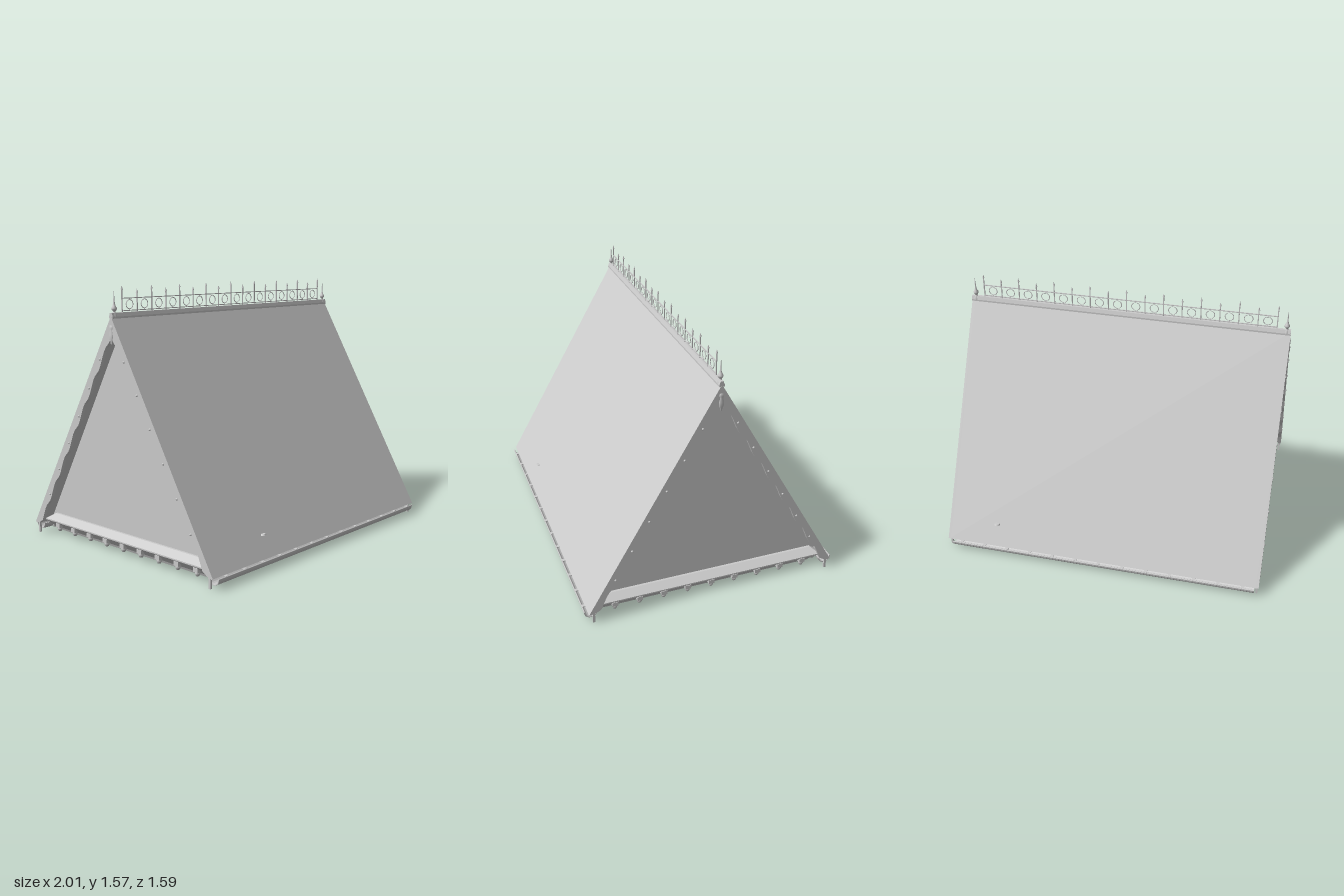
import * as THREE from 'three';

const APEX = 1.405, SLOPE = 1.732, EAVE = 0.775;
const roofY = (z) => APEX - SLOPE * Math.abs(z);

export function createModel() {
  const model = new THREE.Group();
  model.name = 'gableRoof';
  const grey = new THREE.MeshStandardMaterial({ color: 0xcccccc, side: THREE.DoubleSide });
  grey.name = 'light grey';

  const add = (name, geo, x = 0, y = 0, z = 0, parent = model) => {
    const m = new THREE.Mesh(geo, grey);
    m.name = name;
    m.position.set(x, y, z);
    parent.add(m);
    return m;
  };
  const box = (w, h, d) => new THREE.BoxGeometry(w, h, d);
  const lathe = (pts, n = 14) => new THREE.LatheGeometry(pts.map((p) => new THREE.Vector2(...p)), n);
  // Extrude a (z, y) outline along x, centred on x = 0
  const slab = (pts, width) => {
    const s = new THREE.Shape(pts.map((p) => new THREE.Vector2(...p)));
    const g = new THREE.ExtrudeGeometry(s, { depth: width, bevelEnabled: false });
    return g.translate(0, 0, -width / 2).rotateY(Math.PI / 2);
  };

  // Two roof slopes in one folded slab
  const t = 0.03;
  add('roofSlopes', slab([
    [-EAVE, roofY(EAVE)], [-EAVE + 0.017, roofY(EAVE) - 0.008], [0, APEX - t],
    [EAVE - 0.017, roofY(EAVE) - 0.008], [EAVE, roofY(EAVE)], [0, APEX],
  ], 1.98));

  // Ridge cap
  add('ridgeCap', slab([[-0.016, 1.392], [0.016, 1.392], [0.016, 1.402], [0.008, 1.424], [-0.008, 1.424], [-0.016, 1.402]], 1.99));

  // Scalloped barge board outline: straight outside, wavy inside
  const barge = [[-EAVE, roofY(EAVE)], [0, APEX], [EAVE, roofY(EAVE)], [EAVE - 0.04, roofY(EAVE) + 0.005]];
  const inner = [];
  for (let i = 0; i <= 42; i++) {
    const z = 0.7 * (1 - i / 42);
    const w = 0.054 + 0.008 * Math.cos((2 * Math.PI * (z - 0.01)) / 0.1) + 0.006 * (1 - z / 0.7);
    inner.push([z, roofY(z + w)]);
  }
  barge.push(...inner, ...inner.slice(0, -1).reverse().map(([z, y]) => [-z, y]));
  barge.push([-EAVE + 0.04, roofY(EAVE) + 0.005]);
  const bargeGeo = slab(barge, 0.02);

  const gableGeo = slab([[-0.72, 0.1], [0.72, 0.1], [0, APEX - 0.025]], 0.012);
  const pendantGeo = lathe([[0, 1.245], [0.006, 1.25], [0.007, 1.265], [0.014, 1.275], [0.016, 1.3], [0.01, 1.325], [0.013, 1.335], [0.013, 1.352], [0, 1.354]]);
  const finialGeo = lathe([[0.017, 1.395], [0.017, 1.41], [0.008, 1.427], [0.007, 1.432], [0.015, 1.441], [0.016, 1.45], [0.01, 1.461], [0.005, 1.475], [0.003, 1.51], [0, 1.548]]);
  const boltGeo = new THREE.SphereGeometry(0.007, 8, 6);

  // Gable ends
  for (const s of [-1, 1]) {
    const end = new THREE.Group();
    end.name = s > 0 ? 'leftGableEnd' : 'rightGableEnd';
    model.add(end);
    add('gableWall', gableGeo, s * 0.89, 0, 0, end);
    add('bargeBoard', bargeGeo, s * 0.986, 0, 0, end);
    add('apexPendant', pendantGeo, s * 0.994, 0, 0, end).scale.x = 0.5;
    add('ridgeFinial', finialGeo, s * 0.97, 0, 0, end);
    for (const k of [-1, 1]) {
      add('bargeTail', box(0.012, 0.085, 0.014), s * 0.984, 0.0425, k * 0.745, end);
      for (let i = 0; i < 6; i++) {
        const z = 0.103 + i * 0.102;
        add('bargeBolt', boltGeo, s * 0.996, roofY(z + 0.041), k * z, end);
      }
    }
  }

  // Mitred cornice ring: [outward offset, height] profile around a rectangle
  const profile = [[0, 0.02], [0.055, 0.02], [0.062, 0.035], [0.105, 0.08], [0.105, 0.088], [0.06, 0.12], [0, 0.12]];
  const corners = [[1, 1], [1, -1], [-1, -1], [-1, 1]];
  const pos = [];
  const ringPoint = (c, p) => [c[0] * (0.85 + p[0]), p[1], c[1] * (0.615 + p[0])];
  corners.forEach((c, i) => {
    const d = corners[(i + 1) % 4];
    profile.forEach((p, j) => {
      const q = profile[(j + 1) % profile.length];
      const [A, B, C, D] = [ringPoint(c, p), ringPoint(d, p), ringPoint(d, q), ringPoint(c, q)];
      pos.push(...A, ...B, ...C, ...A, ...C, ...D);
    });
  });
  const ring = new THREE.BufferGeometry();
  ring.setAttribute('position', new THREE.Float32BufferAttribute(pos, 3));
  ring.computeVertexNormals();
  add('corniceRing', ring);

  // Small blocks with round drops beneath the cornice
  const blockGeo = box(0.036, 0.026, 0.036);
  const dropGeo = lathe([[0, 0.022], [0.01, 0.025], [0.015, 0.035], [0.015, 0.042], [0.012, 0.052]], 10);
  const drop = (x, z) => {
    add('corniceBlock', blockGeo, x, 0.061, z);
    add('corniceDrop', dropGeo, x, 0, z);
  };
  for (const s of [-1, 1]) {
    for (let i = -4; i <= 4; i++) drop(s * 0.935, i * 0.151);
    for (let i = -6; i <= 6; i++) drop(i * 0.15, s * 0.702);
  }

  // Half-round gutters with hanger straps along both eaves
  const outline = [];
  for (let i = 0; i <= 10; i++) {
    const a = Math.PI + (Math.PI * i) / 10;
    outline.push([0.04 * Math.cos(a), 0.04 * Math.sin(a)]);
  }
  for (let i = 10; i >= 0; i--) {
    const a = Math.PI + (Math.PI * i) / 10;
    outline.push([0.035 * Math.cos(a), 0.035 * Math.sin(a)]);
  }
  const gutterGeo = slab(outline, 1.93);
  for (const s of [-1, 1]) {
    add('gutter', gutterGeo, -0.005, 0.057, s * 0.755);
    add('gutterLip', new THREE.CylinderGeometry(0.004, 0.004, 1.93, 8).rotateZ(Math.PI / 2), -0.005, 0.057, s * 0.792);
    for (let i = -6; i <= 6; i++) add('gutterStrap', box(0.02, 0.005, 0.075), i * 0.15, 0.06, s * 0.755);
  }

  // Roof vents, one on each slope
  const ventGeo = new THREE.CylinderGeometry(0.014, 0.019, 0.008, 16);
  add('frontVent', ventGeo, -0.51, 0.181, 0.709);
  add('backVent', ventGeo, 0.68, 0.187, -0.706);

  // Ridge cresting: rails, spiked posts and rings
  const crest = new THREE.Group();
  crest.name = 'ridgeCresting';
  model.add(crest);
  const pitch = 0.114;
  for (const y of [1.432, 1.502]) add('crestRail', box(16 * pitch, 0.005, 0.006), 0, y, 0, crest);
  const ringGeo = new THREE.TorusGeometry(0.026, 0.0025, 6, 20);
  const studGeo = box(0.003, 0.009, 0.003);
  const tipGeo = new THREE.ConeGeometry(0.007, 0.022, 8);
  for (let i = 0; i <= 16; i++) {
    const x = (i - 8) * pitch;
    const top = i % 2 ? 1.535 : 1.555;
    add('crestPost', box(0.006, top - 1.415, 0.006), x, (top + 1.415) / 2, 0, crest);
    add('crestTip', tipGeo, x, top + 0.007, 0, crest);
    if (i === 16) continue;
    add('crestRing', ringGeo, x + pitch / 2, 1.467, 0, crest);
    for (const k of [-1, 1]) add('ringStud', studGeo, x + pitch / 2, 1.467 + k * 0.031, 0, crest);
  }
  return model;
}
